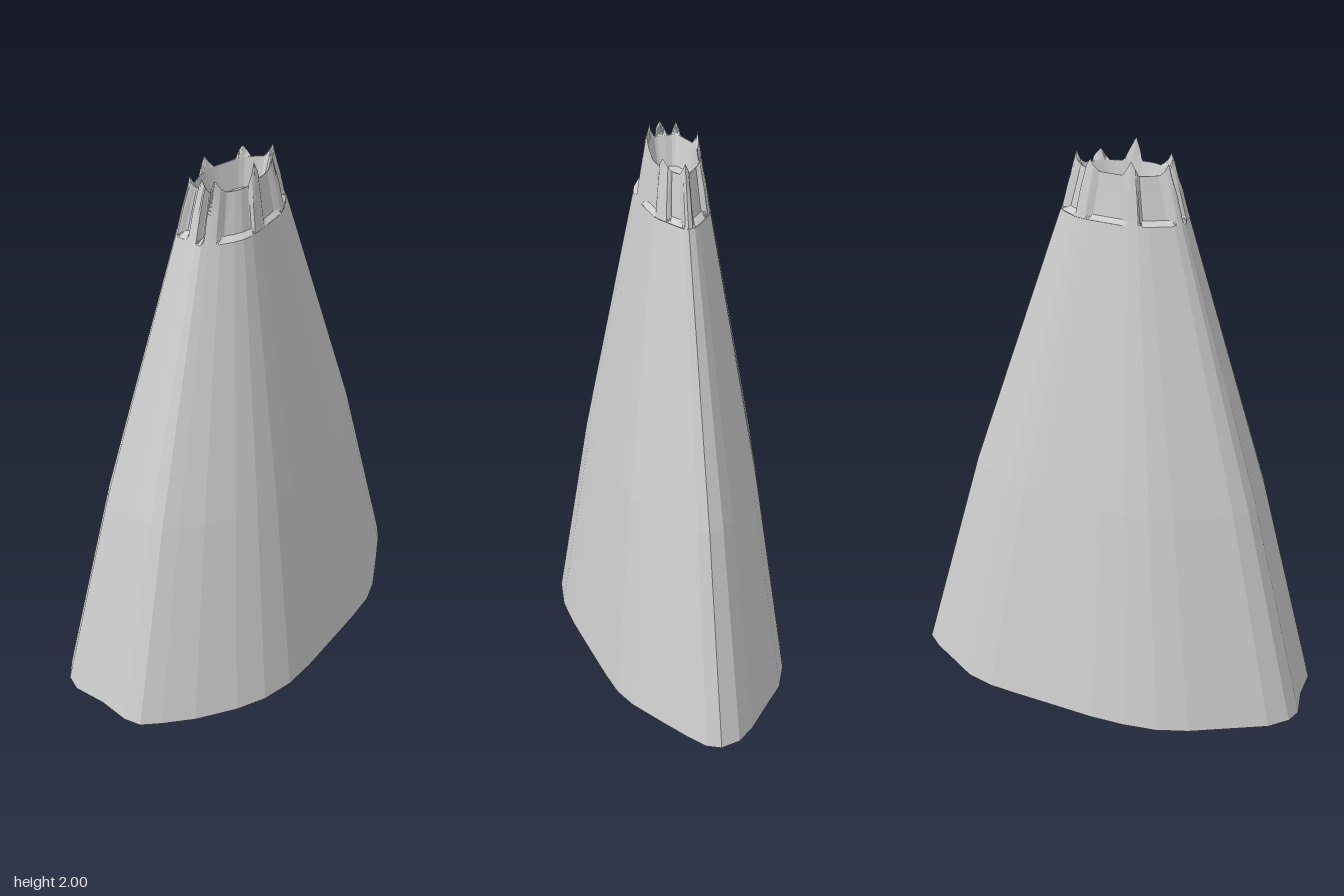
import * as THREE from 'three';

// Ground outline of the mountain, counter-clockwise seen from above: x, z
const OUTLINE = [
  [0.735, 0], [0.715, -0.07], [0.66, -0.13], [0.57, -0.2], [0.47, -0.28], [0.37, -0.32], [0.27, -0.34], [0.15, -0.36],
  [-0.05, -0.395], [-0.17, -0.405], [-0.29, -0.4], [-0.4, -0.37], [-0.53, -0.31], [-0.66, -0.25], [-0.72, -0.19], [-0.74, -0.13],
  [-0.72, -0.01], [-0.72, 0.11], [-0.7, 0.17], [-0.64, 0.22], [-0.54, 0.29], [-0.4, 0.36], [-0.29, 0.395], [-0.17, 0.405],
  [-0.05, 0.39], [0.15, 0.35], [0.27, 0.325], [0.37, 0.3], [0.45, 0.26], [0.57, 0.17], [0.66, 0.1], [0.715, 0.05],
];
const COUNT = OUTLINE.length;

// Rim spikes: place along the outline, half width, tip height
const SPIKES = [
  [0, 1.3, 1.965], [4.5, 1.2, 1.96], [9.5, 1.1, 1.97], [14, 1.1, 1.96],
  [16.5, 0.9, 1.97], [19, 1.2, 1.97], [24, 0.9, 2.0], [28, 1.2, 1.96],
];

// Outline point at place u, scaled about the leaning axis
function outlinePoint(u, scale, y, cx) {
  const i = Math.floor(u) % COUNT;
  const f = u - Math.floor(u);
  const a = OUTLINE[i], b = OUTLINE[(i + 1) % COUNT];
  return [cx + scale * (a[0] + (b[0] - a[0]) * f), y, scale * (a[1] + (b[1] - a[1]) * f)];
}

// Joins closed rings of equal length into a faceted skin
function skin(rings) {
  const n = rings[0].length;
  const index = [];
  for (let r = 0; r < rings.length - 1; r++) {
    for (let i = 0; i < n; i++) {
      const j = (i + 1) % n, a = r * n, b = a + n;
      index.push(a + i, a + j, b + j, a + i, b + j, b + i);
    }
  }
  const geo = new THREE.BufferGeometry();
  geo.setAttribute('position', new THREE.Float32BufferAttribute(rings.flat(2), 3));
  geo.setIndex(index);
  const flat = geo.toNonIndexed();
  flat.computeVertexNormals();
  return flat;
}

// Strongest spike at place u: weight 0..1 and tip height
function spikeAt(u) {
  let weight = 0, tip = 1.92;
  for (const [place, half, height] of SPIKES) {
    const d = Math.abs(u - place);
    const w = Math.max(0, 1 - Math.min(d, COUNT - d) / half);
    if (w > weight) { weight = w; tip = height; }
  }
  return { weight, tip };
}

export function createModel() {
  const rock = new THREE.MeshStandardMaterial({ color: 0xcccccc, side: THREE.DoubleSide, flatShading: true });
  rock.name = 'grey rock';
  const group = new THREE.Group();
  group.name = 'volcano';
  const add = (name, geo) => {
    const mesh = new THREE.Mesh(geo, rock);
    mesh.name = name;
    group.add(mesh);
  };
  const ring = (fn, n) => Array.from({ length: n }, (_, i) => fn((i * COUNT) / n));

  // Hollow slopes, open at the bottom
  const levels = [[1, 0, 0], [0.725, 0.78, -0.013], [0.305, 1.76, -0.035]];
  add('slopes', skin(levels.map(([s, y, cx]) => ring((u) => outlinePoint(u, s, y, cx), COUNT))));

  // Jagged crown: buttresses rise from the slopes into spikes, then fall to the crater
  const N = COUNT * 6;
  const mix = THREE.MathUtils.lerp;
  const crownRing = (fn) => ring((u) => {
    const { weight, tip } = spikeAt(u);
    const [scale, y] = fn(weight, Math.min(1, weight * 2.2), tip);
    return outlinePoint(u, scale, y, -0.037);
  }, N);
  add('crown', skin([
    crownRing(() => [0.305, 1.76]),
    crownRing((w, b) => [mix(0.262, 0.298, b), 1.775]),
    crownRing((w, b) => [mix(0.235, 0.272, b), 1.85]),
    crownRing((w, b, tip) => [mix(0.212, 0.23, b), mix(1.92, tip, w)]),
    crownRing(() => [0.205, 1.92]),
  ]));

  // Crater wall and floor
  add('craterWall', skin([
    ring((u) => outlinePoint(u, 0.205, 1.92, -0.037), COUNT),
    ring((u) => outlinePoint(u, 0.163, 1.82, -0.037), COUNT),
  ]));
  const floor = new THREE.ShapeGeometry(new THREE.Shape(
    OUTLINE.map(([x, z]) => new THREE.Vector2(x * 0.163 - 0.037, -z * 0.163))));
  floor.rotateX(-Math.PI / 2);
  floor.translate(0, 1.82, 0);
  add('craterFloor', floor);

  return group;
}
